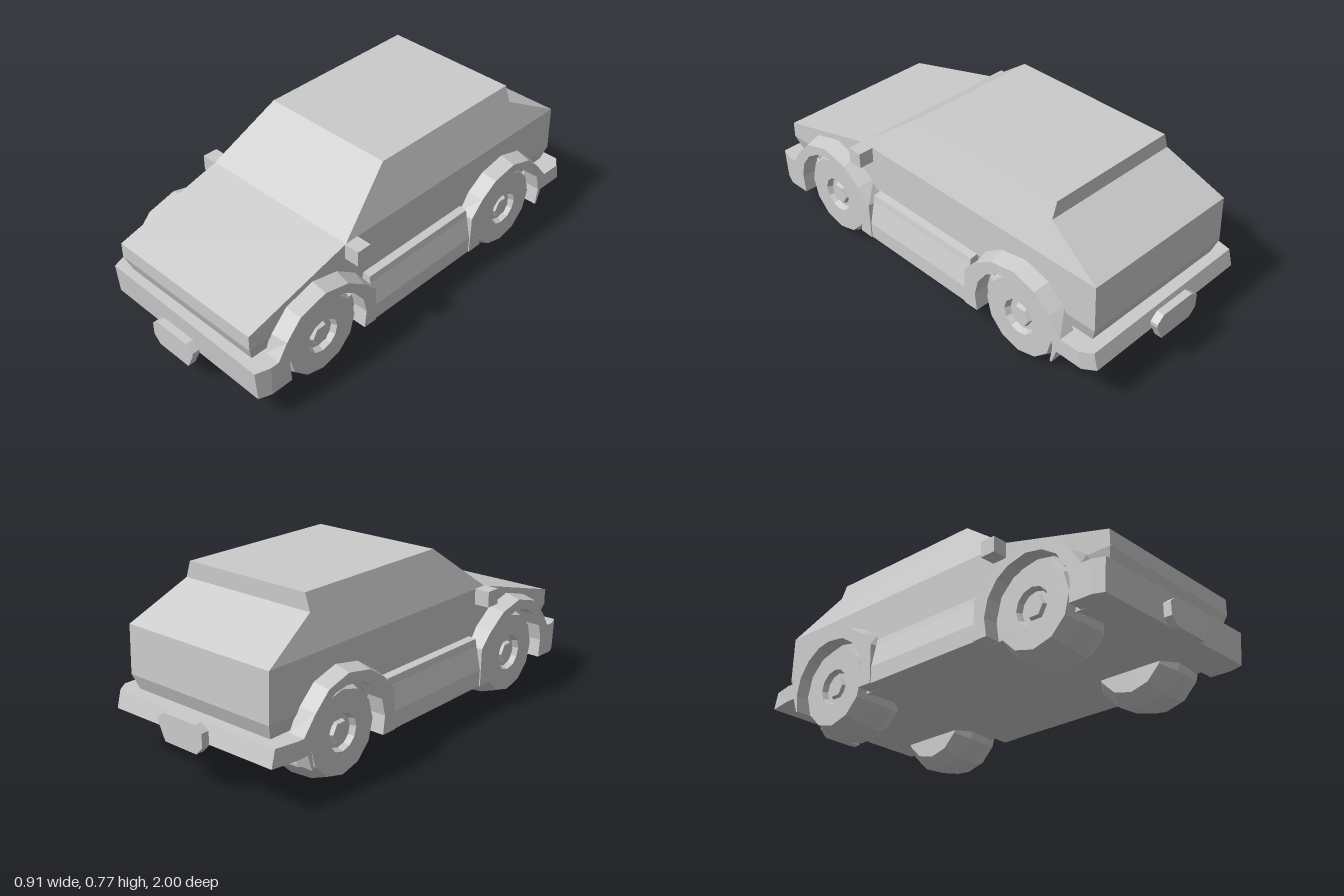
import * as THREE from 'three';

const mat = new THREE.MeshStandardMaterial({ color: 0xcccccc, flatShading: true });

export function createModel() {
  const car = new THREE.Group();
  car.name = 'car';

  const add = (name, geo, parent = car) => {
    const mesh = new THREE.Mesh(geo, mat);
    mesh.name = name;
    parent.add(mesh);
    return mesh;
  };
  const extrude = (pts, depth) => new THREE.ExtrudeGeometry(
    new THREE.Shape(pts.map(([x, y]) => new THREE.Vector2(x, y))), { depth, bevelEnabled: false });
  const reshape = (geo, rule) => {
    const p = geo.attributes.position, v = new THREE.Vector3();
    for (let i = 0; i < p.count; i++) {
      rule(v.fromBufferAttribute(p, i));
      p.setXYZ(i, v.x, v.y, v.z);
    }
    geo.computeVertexNormals();
    return geo;
  };
  // Side profile of [z, y] points, extruded across x0..x1
  const fromSide = (pts, x0, x1) =>
    extrude(pts.map(([z, y]) => [-z, y]), x1 - x0).rotateY(Math.PI / 2).translate(x0, 0, 0);
  // Plan outline of [x, z] points, extruded up y0..y1
  const fromTop = (pts, y0, y1) =>
    extrude(pts.map(([x, z]) => [x, -z]), y1 - y0).rotateX(-Math.PI / 2).translate(0, y0, 0);

  // Body shell: three layers whose half width follows the height
  const halfWidth = y => y > 0.56 ? 0.385 - (y - 0.56) / 3 : y < 0.35 ? 0.385 - (0.35 - y) * 0.3 : 0.385;
  const layers = {
    cabin: [[0.42, 0.56], [0.14, 0.772], [-0.635, 0.772], [-0.635, 0.7], [-0.9, 0.56]],
    bodyShell: [[0.93, 0.35], [0.93, 0.42], [0.42, 0.56], [-0.9, 0.56], [-0.907, 0.35]],
    lowerBody: [[0.93, 0.35], [-0.907, 0.35], [-0.875, 0.26], [0.905, 0.28]],
  };
  for (const [name, pts] of Object.entries(layers))
    add(name, reshape(fromSide(pts, -1, 1), v => { v.x = Math.sign(v.x) * halfWidth(v.y); }));

  // Floor pan
  add('floorPan', fromSide([[0.9, 0.14], [0.9, 0.275], [-0.87, 0.275], [-0.87, 0.215],
    [-0.76, 0.21], [-0.76, 0.14]], -0.384, 0.384));

  // Bumpers with chamfered corners
  add('frontBumper', reshape(fromTop([[-0.455, 0.84], [0.455, 0.84], [0.455, 0.89], [0.435, 0.955],
    [-0.435, 0.945], [-0.455, 0.89]], 0.14, 0.28), v => { if (v.z > 0.92 && v.y < 0.2) v.z -= 0.01; }));
  add('rearBumper', reshape(fromTop([[-0.455, -0.78], [-0.455, -0.83], [-0.435, -0.95],
    [0.42, -0.96], [0.455, -0.91], [0.455, -0.78]], 0.21, 0.285),
    v => { if (v.z < -0.9 && v.y > 0.25) v.z += 0.02; }));

  // Plates with cut corners
  const plate = [[-0.125, 0.035], [-0.09, 0.06], [0.085, 0.06], [0.12, 0.03],
    [0.12, 0.015], [0.085, -0.06], [-0.09, -0.06], [-0.125, -0.025]];
  add('frontPlate', extrude(plate, 0.035)).position.set(0, 0.167, 0.965);
  add('rearPlate', extrude(plate, 0.035)).position.set(0, 0.24, -1);

  // Wheel arches: outer outlines run front to back
  const arches = {
    front: { z: 0.585, outer: [[0.84, 0.14], [0.85, 0.28], [0.82, 0.36], [0.74, 0.445], [0.6, 0.485],
      [0.47, 0.455], [0.37, 0.385], [0.32, 0.31], [0.315, 0.14]] },
    rear: { z: -0.55, outer: [[-0.275, 0.14], [-0.28, 0.32], [-0.33, 0.4], [-0.42, 0.46], [-0.55, 0.485],
      [-0.67, 0.45], [-0.75, 0.375], [-0.8, 0.285], [-0.78, 0.2], [-0.76, 0.14]] },
  };
  const wheelY = 0.21;
  for (const [end, { z: cz, outer }] of Object.entries(arches)) {
    const inner = [];
    for (let i = 0; i <= 10; i++) {
      const a = Math.PI + 0.33 - i * (Math.PI + 0.66) / 10;
      inner.push([cz + 0.213 * Math.cos(a), wheelY + 0.213 * Math.sin(a)]);
    }
    for (const s of [1, -1]) {
      const geo = fromSide([...outer, ...inner], s > 0 ? 0.38 : -0.455, s > 0 ? 0.455 : -0.38);
      // slope the top of the flare down towards its outer edge
      add(end + 'WheelArch', reshape(geo, v => {
        const r = Math.hypot(v.z - cz, v.y - wheelY);
        if (Math.abs(v.x) > 0.45 && v.y > 0.33 && r > 0.23) {
          const k = (r - 0.018) / r;
          v.z = cz + (v.z - cz) * k;
          v.y = wheelY + (v.y - wheelY) * k;
        }
      }));
    }
  }

  // Sills and door mirrors
  const sill = [[0.38, 0.355], [0.42, 0.35], [0.425, 0.32], [0.45, 0.215], [0.45, 0.14], [0.38, 0.14]];
  for (const s of [1, -1]) {
    add('sill', extrude(sill.map(([x, y]) => [s * x, y]), 0.6).translate(0, 0, -0.28));
    add('doorMirror', new THREE.BoxGeometry(0.07, 0.07, 0.07)).position.set(s * 0.42, 0.526, 0.39);
  }

  // Wheels: [radius, x] profile from inner side to recessed hub
  const tyre = [[0, 0.175], [0.165, 0.175], [0.212, 0.245], [0.205, 0.35], [0.178, 0.42],
    [0.08, 0.42], [0.07, 0.395], [0, 0.395]].map(([r, x]) => new THREE.Vector2(r, x));
  for (const [end, { z }] of Object.entries(arches))
    for (const s of [1, -1]) {
      const wheel = new THREE.Group();
      wheel.name = end + 'Wheel';
      add('tyre', new THREE.LatheGeometry(tyre, 12).rotateZ(-Math.PI / 2), wheel);
      add('hub', new THREE.CylinderGeometry(0.045, 0.055, 0.025, 6).rotateZ(-Math.PI / 2).translate(0.4, 0, 0), wheel);
      wheel.position.set(0, wheelY + 0.002, z);
      wheel.rotation.y = s > 0 ? 0 : Math.PI;
      car.add(wheel);
    }

  return car;
}
